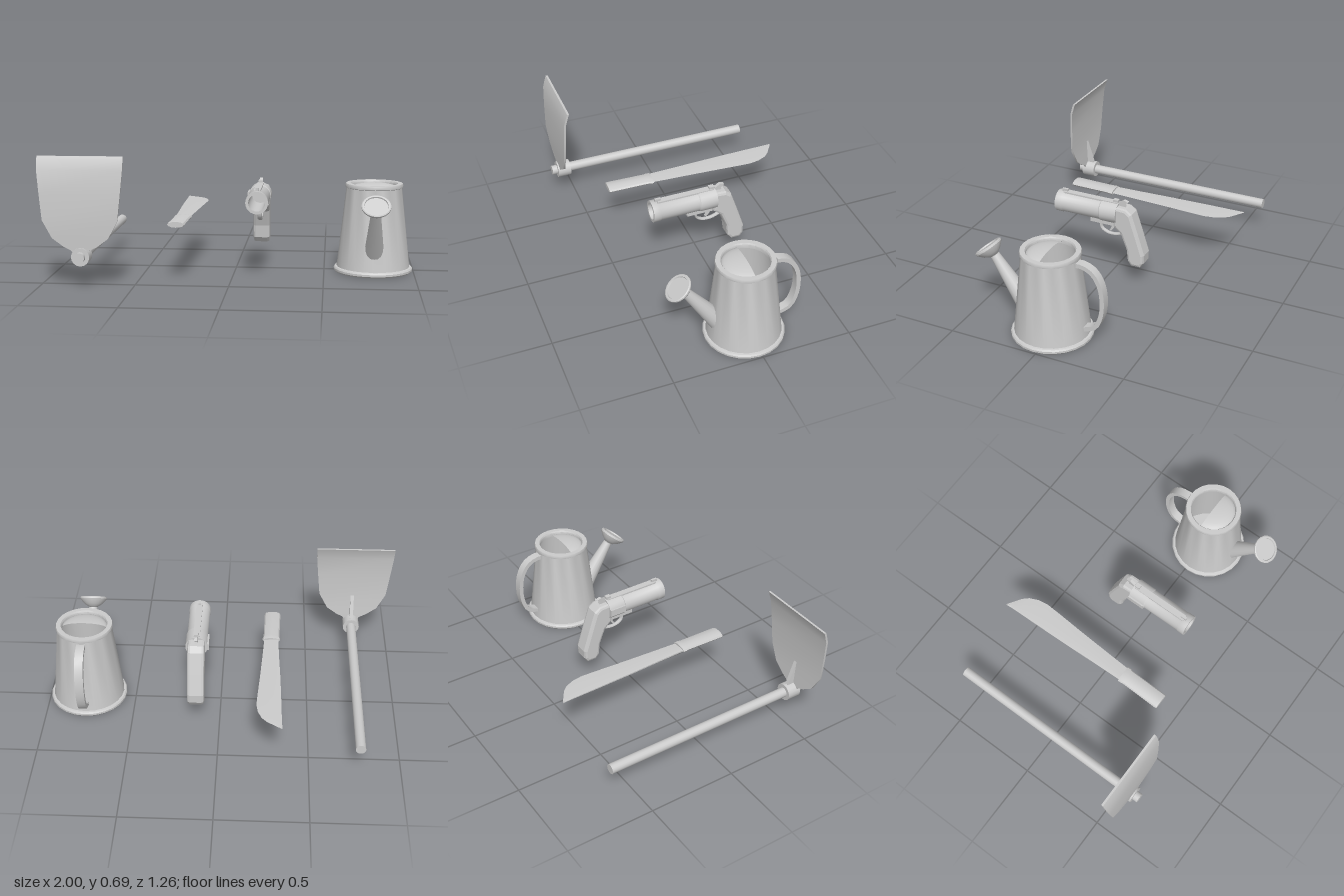
import * as THREE from 'three';
import { toCreasedNormals } from 'three/addons/utils/BufferGeometryUtils.js';

const mat = new THREE.MeshStandardMaterial({ color: 0xcccccc });
const thin = new THREE.MeshStandardMaterial({ color: 0xcccccc, side: THREE.DoubleSide });
const V2 = (x, y) => new THREE.Vector2(x, y);

function add(parent, name, geo, x = 0, y = 0, z = 0, rx = 0, material = mat) {
  const m = new THREE.Mesh(geo, material);
  m.name = name;
  m.position.set(x, y, z);
  m.rotation.x = rx;
  parent.add(m);
  return m;
}

function group(root, name, x, y, z) {
  const g = new THREE.Group();
  g.name = name;
  g.position.set(x, y, z);
  root.add(g);
  return g;
}

const box = (w, h, d) => new THREE.BoxGeometry(w, h, d);
const lathe = (pts, sides = 24) =>
  toCreasedNormals(new THREE.LatheGeometry(pts.map(p => V2(...p)), sides), 0.6);

// Solid skin over a run of equal-sized rings, capped at both ends
function loft(rings, crease = 0.5) {
  const pos = [], n = rings[0].length;
  const tri = (a, b, c) => pos.push(...a, ...b, ...c);
  for (let i = 0; i + 1 < rings.length; i++) {
    for (let j = 0; j < n; j++) {
      const k = (j + 1) % n, A = rings[i], B = rings[i + 1];
      tri(A[j], A[k], B[k]);
      tri(A[j], B[k], B[j]);
    }
  }
  const first = rings[0], last = rings[rings.length - 1];
  for (let j = 1; j + 1 < n; j++) {
    tri(first[0], first[j + 1], first[j]);
    tri(last[0], last[j], last[j + 1]);
  }
  const g = new THREE.BufferGeometry();
  g.setAttribute('position', new THREE.Float32BufferAttribute(pos, 3));
  return toCreasedNormals(g, crease);
}

// Side profile given as [z, y], extruded across x and centred
function sidePlate(pts, width, bevel = 0) {
  const shape = new THREE.Shape(pts.map(p => V2(...p)));
  const depth = width - 2 * bevel;
  const g = new THREE.ExtrudeGeometry(shape, {
    depth, bevelEnabled: bevel > 0, bevelSize: bevel, bevelThickness: bevel,
    bevelOffset: -bevel, bevelSegments: 2,
  });
  g.translate(0, 0, -depth / 2);
  g.rotateY(-Math.PI / 2);
  return g;
}

function buildHoe(root) {
  const g = group(root, 'hoe', -0.773, 0, 0);
  add(g, 'pole', new THREE.CylinderGeometry(0.028, 0.028, 1.24, 16), 0, 0.165, 0.01, Math.PI / 2);
  add(g, 'collar', new THREE.CylinderGeometry(0.049, 0.049, 0.078, 16), 0, 0.165, 0.56, Math.PI / 2);
  // Blade rows: height, half width, depth position
  const rows = [[0.165, 0.025, 0.583], [0.2, 0.05, 0.584], [0.22, 0.09, 0.585], [0.265, 0.15, 0.587],
    [0.36, 0.2, 0.592], [0.5, 0.215, 0.587], [0.625, 0.227, 0.579], [0.68, 0.228, 0.563], [0.695, 0.228, 0.557]];
  const t = 0.006;
  add(g, 'hoeBlade', loft(rows.map(([y, w, z]) =>
    [[-w, y, z + t], [w, y, z + t], [w, y, z - t], [-w, y, z - t]])));
  add(g, 'bladeRib', sidePlate([[0.588, 0.36], [0.588, 0.2], [0.54, 0.2], [0.54, 0.215]], 0.02));
}

function buildMachete(root) {
  const g = group(root, 'machete', 0, 0.315, 0);
  // Blade rows: depth position, spine x, edge x
  const rows = [[0.17, -0.325, -0.245], [0, -0.33, -0.236], [-0.2, -0.338, -0.224], [-0.36, -0.342, -0.213],
    [-0.44, -0.344, -0.209], [-0.5, -0.345, -0.218], [-0.55, -0.346, -0.24], [-0.58, -0.347, -0.268],
    [-0.605, -0.348, -0.305], [-0.632, -0.35, -0.345]];
  add(g, 'macheteBlade', loft(rows.map(([z, a, b], i) => {
    const m = a + (b - a) * 0.3, t = 0.006 - i * 0.0004;
    return [[a, t * 0.7, z], [m, t, z], [b, 0, z], [m, -t, z], [a, -t * 0.7, z]];
  })));
  // Flattened oval grip with a wider guard end
  const oval = (z, c, rx, ry) => Array.from({ length: 12 }, (_, i) => {
    const a = Math.PI - i * Math.PI / 6;
    return [c + rx * Math.cos(a), ry * Math.sin(a), z];
  });
  add(g, 'macheteHandle', loft([oval(0.422, -0.291, 0.045, 0.016), oval(0.41, -0.291, 0.047, 0.018),
    oval(0.19, -0.286, 0.046, 0.016), oval(0.175, -0.285, 0.05, 0.017), oval(0.155, -0.285, 0.05, 0.015)]));
}

function buildPistol(root) {
  const g = group(root, 'pistol', 0.135, 0, 0);
  // Hollow barrel with a stepped breech
  add(g, 'barrel', lathe([[0, -0.07], [0.063, -0.07], [0.063, 0.03], [0.059, 0.035], [0.059, 0.26],
    [0.062, 0.265], [0.062, 0.305], [0.046, 0.305], [0.046, 0], [0, 0]]), 0, 0.42, 0, Math.PI / 2);
  add(g, 'topRail', box(0.036, 0.014, 0.33), 0, 0.478, 0.105);
  add(g, 'frontSight', box(0.014, 0.016, 0.034), 0, 0.49, 0.265);
  add(g, 'rearSight', box(0.024, 0.018, 0.03), 0, 0.489, -0.05);
  add(g, 'latch', box(0.01, 0.04, 0.1), -0.064, 0.42, -0.02);
  add(g, 'frame', box(0.044, 0.035, 0.2), 0, 0.357, 0.0);
  add(g, 'grip', sidePlate([[-0.05, 0.47], [-0.125, 0.465], [-0.158, 0.44], [-0.198, 0.32], [-0.236, 0.2],
    [-0.234, 0.15], [-0.215, 0.122], [-0.16, 0.122], [-0.138, 0.15], [-0.13, 0.22], [-0.095, 0.31],
    [-0.05, 0.35]], 0.096, 0.016));
  add(g, 'hammer', sidePlate([[-0.075, 0.45], [-0.07, 0.485], [-0.1, 0.505], [-0.125, 0.497],
    [-0.105, 0.48], [-0.115, 0.45]], 0.018));
  // Trigger and its guard loop
  const path = new THREE.CatmullRomCurve3([[0.045, 0.35], [0.038, 0.305], [0, 0.282], [-0.055, 0.282], [-0.1, 0.3]]
    .map(([z, y]) => new THREE.Vector3(0, y, z)));
  const guard = new THREE.TubeGeometry(path, 14, 0.007, 6);
  guard.scale(2, 1, 1);
  add(g, 'triggerGuard', guard);
  add(g, 'trigger', sidePlate([[-0.045, 0.35], [-0.04, 0.32], [-0.02, 0.297], [-0.012, 0.3],
    [-0.025, 0.325], [-0.02, 0.35]], 0.014));
}

function buildCan(root) {
  const g = group(root, 'wateringCan', 0.775, 0, 0.017);
  // Tapered hollow body with base band and rolled rim
  add(g, 'canBody', lathe([[0, 0], [0.215, 0], [0.221, 0.007], [0.221, 0.018], [0.215, 0.026], [0.204, 0.028],
    [0.155, 0.474], [0.16, 0.477], [0.162, 0.487], [0.158, 0.498], [0.132, 0.498], [0.127, 0.49],
    [0.127, 0.468], [0.147, 0.465], [0.194, 0.03], [0, 0.03]], 24));
  // Domed cover over the front half of the opening
  const cover = new THREE.SphereGeometry(1, 20, 6, 0, Math.PI, 0, Math.PI / 2);
  cover.scale(0.13, 0.032, 0.13);
  add(g, 'halfCover', cover, 0, 0.47, 0, 0, thin);

  // Strap handle following a curve behind the body
  const curve = new THREE.CatmullRomCurve3([[-0.145, 0.452], [-0.19, 0.452], [-0.245, 0.425], [-0.285, 0.36],
    [-0.3, 0.27], [-0.29, 0.175], [-0.255, 0.105], [-0.19, 0.08]].map(([z, y]) => new THREE.Vector3(0, y, z)));
  const rings = [];
  for (let i = 0; i <= 16; i++) {
    const p = curve.getPointAt(i / 16), t = curve.getTangentAt(i / 16);
    rings.push([[-1, 1], [1, 1], [1, -1], [-1, -1]].map(([sx, sn]) =>
      [sx * 0.024, p.y - t.z * sn * 0.012, p.z + t.y * sn * 0.012]));
  }
  add(g, 'canHandle', loft(rings));

  // Tapered spout and its sprinkler rose
  const tilt = 0.62;
  add(g, 'spout', new THREE.CylinderGeometry(0.026, 0.054, 0.31, 16), 0, 0.258, 0.243, tilt);
  add(g, 'rose', lathe([[0, -0.05], [0.027, -0.045], [0.052, -0.028], [0.073, -0.006], [0.079, 0.002],
    [0.079, 0.01], [0.074, 0.014], [0.064, 0.014], [0.062, 0.007], [0, 0.007]], 20), 0, 0.418, 0.367, 0.66);
}

export function createModel() {
  const root = new THREE.Group();
  root.name = 'toolSet';
  buildHoe(root);
  buildMachete(root);
  buildPistol(root);
  buildCan(root);
  return root;
}
